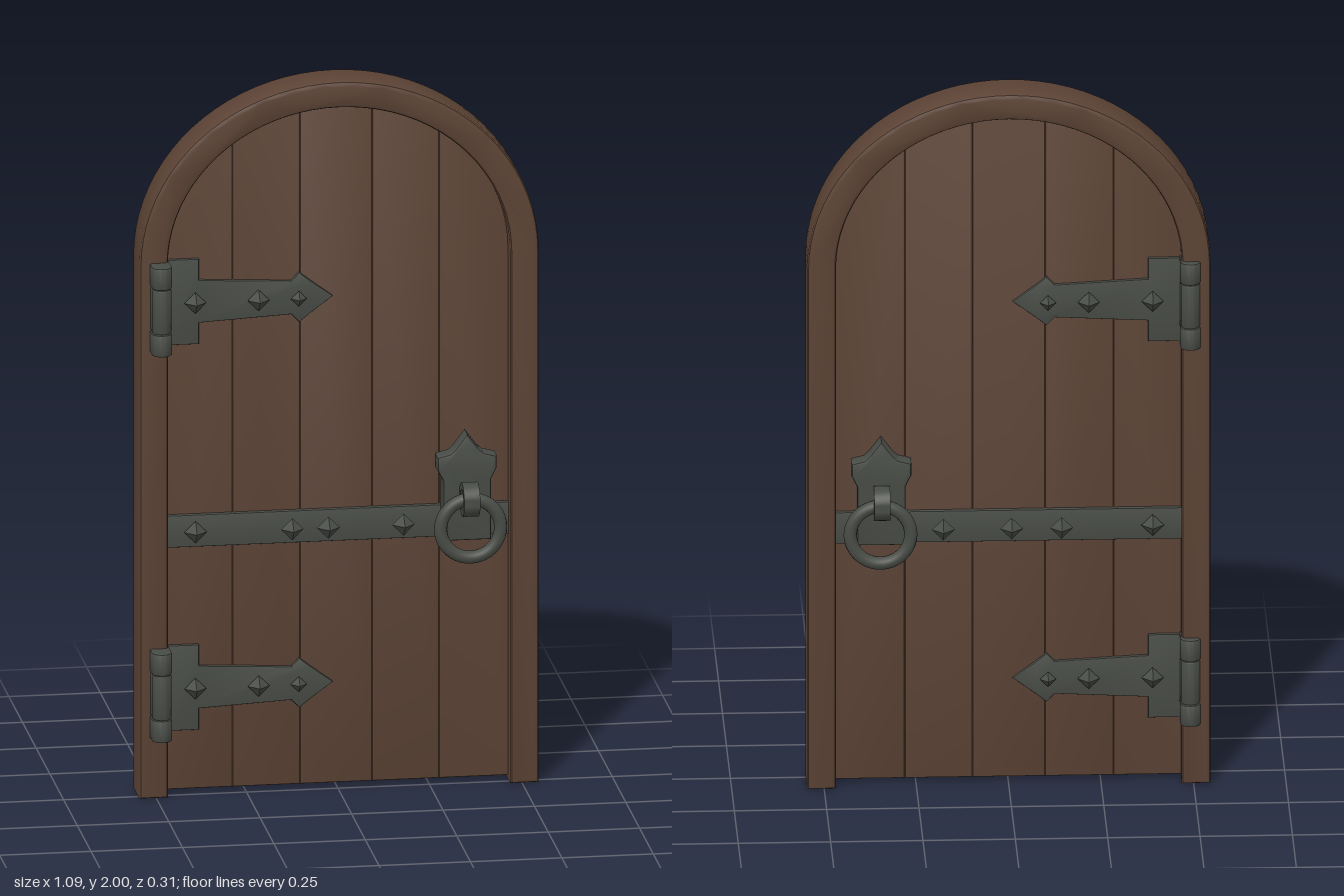
import * as THREE from 'three';
import { toCreasedNormals } from 'three/addons/utils/BufferGeometryUtils.js';

const wood = new THREE.MeshStandardMaterial({ color: 0x5c4335 });
wood.name = 'brown wood';
const iron = new THREE.MeshStandardMaterial({ color: 0x484c46 });
iron.name = 'dark iron';

const SPRING = 1.5; // height where the arch starts

function add(parent, name, geometry, material, x = 0, y = 0, z = 0) {
  const mesh = new THREE.Mesh(geometry, material);
  mesh.name = name;
  mesh.position.set(x, y, z);
  parent.add(mesh);
  return mesh;
}

// Bevelled slab from an outline, spanning z0 to z1
function slab(points, z0, z1, bevel) {
  const shape = new THREE.Shape(points.map(([x, y]) => new THREE.Vector2(x, y)));
  const geometry = new THREE.ExtrudeGeometry(shape, {
    depth: z1 - z0 - 2 * bevel, bevelEnabled: true, bevelThickness: bevel,
    bevelSize: bevel, bevelOffset: -bevel, bevelSegments: 2,
  });
  geometry.translate(0, 0, z0 + bevel);
  return toCreasedNormals(geometry, 0.6);
}

const archY = (x, rx, ry) => SPRING + ry * Math.sqrt(Math.max(0, 1 - (x / rx) ** 2));

function buildFrame(parent) {
  const points = [];
  const n = 40;
  points.push([0.546, 0]);
  for (let i = 0; i <= n; i++) {
    const a = (Math.PI * i) / n;
    points.push([0.546 * Math.cos(a), SPRING + 0.5 * Math.sin(a)]);
  }
  points.push([-0.546, 0], [-0.468, 0]);
  for (let i = n; i >= 0; i--) {
    const a = (Math.PI * i) / n;
    points.push([0.468 * Math.cos(a), SPRING + 0.425 * Math.sin(a)]);
  }
  points.push([0.468, 0]);
  add(parent, 'archedFrame', slab(points, -0.1, 0.031, 0.012), wood);
}

// Thin boards set deep inside the frame
function buildPlanks(parent) {
  const seams = [-0.472, -0.285, -0.1, 0.097, 0.28, 0.472];
  for (let i = 0; i < 5; i++) {
    const a = seams[i], b = seams[i + 1], n = 16;
    const points = [[a, 0.01], [b, 0.01]];
    for (let j = 0; j <= n; j++) {
      // ease the samples toward the steep outer ends of the arch
      const t = (1 - Math.cos((Math.PI * j) / n)) / 2;
      const x = b + (a - b) * t;
      points.push([x, archY(x, 0.472, 0.429)]);
    }
    add(parent, 'plank' + (i + 1), slab(points, -0.046, -0.021, 0.005), wood);
  }
}

// Diamond-shaped stud, half sunk into its strap
function stud(parent, x, y, z, r) {
  add(parent, 'stud', new THREE.OctahedronGeometry(r), iron, x, y, z);
}

// m is 1 on the front and -1 on the back, where the group is turned round
function buildHinge(flat, raised, y, m) {
  const half = [[-0.465, 0.12], [-0.378, 0.12], [-0.378, 0.06], [-0.125, 0.047],
    [-0.104, 0.07], [-0.074, 0.046], [-0.012, 0]];
  const lower = half.slice(0, -1).reverse().map(([x, v]) => [x, -v]);
  const outline = [...half, ...lower].map(([x, v]) => [x * m, v + y]);
  add(flat, 'hingeStrap', slab(outline, -0.03, -0.01, 0.003), iron);
  [[-0.39, 0.03], [-0.217, 0.03], [-0.107, 0.022]]
    .forEach(([x, r]) => stud(flat, x * m, y, 0.002, r));

  // Knuckles, round-fronted blocks stacked on the frame
  [[0.094, 0.062, 0.028], [0, 0.126, 0.026], [-0.094, 0.062, 0.028]].forEach(([dy, h, r]) => {
    const plan = [[r, 0]];
    for (let i = 0; i <= 12; i++) {
      const a = (Math.PI * i) / 12;
      plan.push([r * Math.cos(a), -0.062 - r * Math.sin(a)]);
    }
    plan.push([-r, 0]);
    const geometry = slab(plan, -h / 2, h / 2, 0.005);
    geometry.rotateX(-Math.PI / 2);
    add(raised, 'hingeKnuckle', geometry, iron, -0.491 * m, y + dy, 0);
  });
}

function buildBand(flat, m, studs) {
  const outline = [[-0.472, 0.695], [0.472, 0.695], [0.472, 0.785], [-0.472, 0.785]];
  add(flat, 'crossBand', slab(outline, -0.03, -0.007, 0.003), iron);
  studs.forEach(x => stud(flat, x * m, 0.74, x < -0.3 ? 0.005 : 0.016, 0.031));
}

function buildHandle(raised, m, eyeZ) {
  const cx = 0.345 * m;
  const right = [[0.066, 0.7], [0.066, 0.87], [0.081, 0.9], [0.081, 0.936],
    [0.045, 0.945], [0.03, 0.96]];
  const left = right.slice().reverse().map(([x, y]) => [-x, y]);
  const outline = [...right, [0, 1.0], ...left].map(([x, y]) => [cx + x, y]);
  add(raised, 'handlePlate', slab(outline, 0, 0.06, 0.008), iron);

  // Eye that holds the ring
  const eye = new THREE.Shape();
  eye.absarc(0, 0, 0.047, 0, Math.PI * 2);
  const hole = new THREE.Path();
  hole.absarc(0, 0, 0.028, 0, Math.PI * 2, true);
  eye.holes.push(hole);
  const eyeGeometry = new THREE.ExtrudeGeometry(eye, { depth: 0.044, bevelEnabled: false, curveSegments: 16 });
  eyeGeometry.translate(0, 0, -0.022);
  eyeGeometry.rotateY(Math.PI / 2);
  add(raised, 'handleEye', toCreasedNormals(eyeGeometry, 0.6), iron, cx, 0.83, eyeZ);

  add(raised, 'handleRing', new THREE.TorusGeometry(0.082, 0.018, 12, 40), iron, 0.349 * m, 0.745, 0.093);
}

export function createModel() {
  const door = new THREE.Group();
  door.name = 'archedDoor';
  buildFrame(door);
  buildPlanks(door);

  for (const m of [1, -1]) {
    const flat = new THREE.Group();
    const raised = new THREE.Group();
    flat.name = m > 0 ? 'frontStraps' : 'backStraps';
    raised.name = m > 0 ? 'frontFittings' : 'backFittings';
    if (m < 0) {
      flat.rotation.y = raised.rotation.y = Math.PI;
      flat.position.z = -0.066;
      raised.position.z = -0.034;
    }
    buildHinge(flat, raised, 1.385, m);
    buildHinge(flat, raised, 0.298, m);
    buildBand(flat, m, m > 0 ? [-0.39, -0.127, -0.028, 0.177] : [-0.39, -0.143, -0.008, 0.177]);
    buildHandle(raised, m, m > 0 ? 0.106 : 0.079);
    door.add(flat, raised);
  }
  return door;
}
